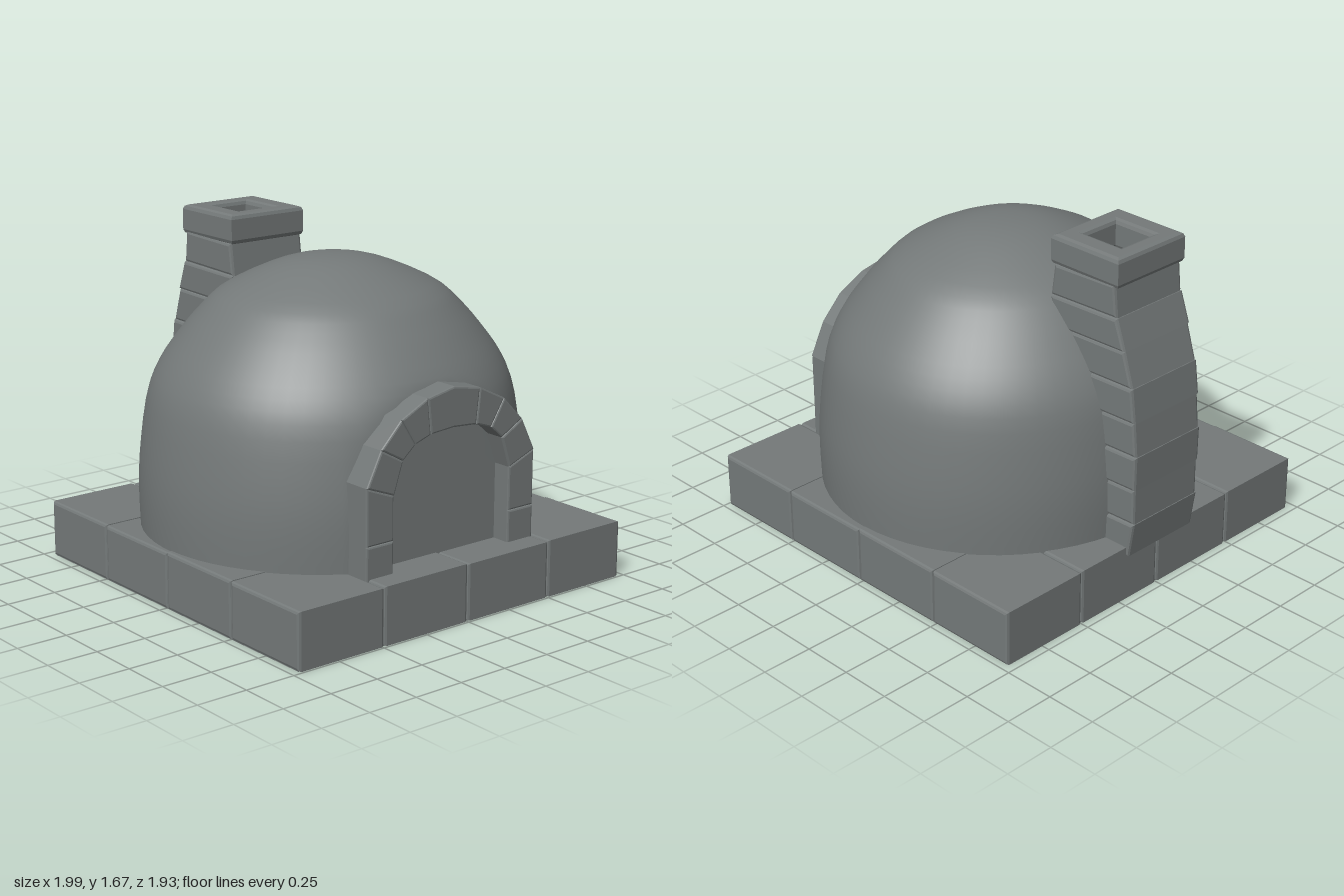
import * as THREE from 'three';
import { mergeVertices } from 'three/addons/utils/BufferGeometryUtils.js';

const stone = new THREE.MeshStandardMaterial({ color: 0x747979 });
stone.name = 'grey stone';

function add(parent, name, geometry) {
  const mesh = new THREE.Mesh(geometry, stone);
  mesh.name = name;
  parent.add(mesh);
  return mesh;
}

function group(parent, name) {
  const g = new THREE.Group();
  g.name = name;
  parent.add(g);
  return g;
}

// Bevelled block: outline in x/y, running from z0 to z1
function block(outline, z0, z1, bevel = 0.014, hole) {
  const shape = new THREE.Shape(outline.map(([x, y]) => new THREE.Vector2(x, y)));
  if (hole) shape.holes.push(new THREE.Path(hole.map(([x, y]) => new THREE.Vector2(x, y))));
  const geometry = new THREE.ExtrudeGeometry(shape, {
    depth: z1 - z0 - 2 * bevel, bevelEnabled: true, bevelThickness: bevel,
    bevelSize: bevel, bevelOffset: -bevel, bevelSegments: 2,
  });
  return geometry.translate(0, 0, z0 + bevel);
}

const rect = (x0, y0, x1, y1) => [[x0, y0], [x1, y0], [x1, y1], [x0, y1]];

// Ring of slabs around a solid core
function buildBase(parent) {
  const base = group(parent, 'base');
  const xs = [-0.96, -0.485, 0.015, 0.505, 0.99];
  const zs = [-0.97, -0.5, 0, 0.49, 0.965];
  for (let i = 0; i < 4; i++) {
    for (let j = 0; j < 4; j++) {
      if (i % 3 && j % 3) continue;
      const top = 0.272 + 0.004 * ((i + j) % 2);
      add(base, 'baseSlab', block(rect(xs[i], 0, xs[i + 1], top), zs[j], zs[j + 1]));
    }
  }
  const core = add(base, 'baseCore', new THREE.BoxGeometry(1.93, 0.262, 1.92));
  core.position.set(0.015, 0.131, 0);
}

// Oval dome, pressed flat on the doorway side
function buildDome(parent) {
  const profile = new THREE.SplineCurve([
    [0.932, 0.25], [0.937, 0.45], [0.925, 0.65], [0.887, 0.9], [0.825, 1.05],
    [0.732, 1.18], [0.635, 1.29], [0.522, 1.388], [0.3, 1.49], [0.14, 1.532], [0, 1.54],
  ].map(([r, y]) => new THREE.Vector2(r, y)));
  let geometry = new THREE.LatheGeometry(profile.getPoints(28), 64);
  geometry.deleteAttribute('uv');
  geometry.deleteAttribute('normal');
  geometry.scale(0.935, 1, 1).translate(0.015, 0, 0.003);
  const p = geometry.attributes.position;
  for (let i = 0; i < p.count; i++) p.setX(i, Math.min(p.getX(i), 0.785));
  geometry = mergeVertices(geometry, 1e-4);
  geometry.computeVertexNormals();
  add(parent, 'dome', geometry);
}

// Doorway arch: joints given as inner and outer points, mirrored about the keystone
function buildArch(parent) {
  const arch = group(parent, 'doorArch');
  arch.rotation.y = Math.PI / 2;
  const joints = [
    [[0.345, 0.26], [0.5, 0.26]], [[0.345, 0.425], [0.5, 0.425]],
    [[0.345, 0.635], [0.5, 0.695]], [[0.295, 0.785], [0.42, 0.855]],
    [[0.225, 0.845], [0.305, 0.972]], [[0.135, 0.875], [0.155, 1.045]],
  ];
  for (const side of [-1, 1]) {
    const flip = ([x, y]) => [x * side, y];
    for (let i = 0; i < joints.length - 1; i++) {
      const [a, b] = joints[i], [c, d] = joints[i + 1];
      const x = i < 2 ? 0.878 : 0.882;
      add(arch, 'archStone', block([a, b, d, c].map(flip), 0.72, x, 0.009));
    }
  }
  const [inner, outer] = joints[5];
  add(arch, 'keystone', block([
    [-inner[0], inner[1]], [0, 0.885], inner, outer, [0, 1.075], [-outer[0], outer[1]],
  ], 0.72, 0.882, 0.009));
}

// Chimney courses lean in with the dome, then a hollow cap
function buildChimney(parent) {
  const chimney = group(parent, 'chimney');
  const courses = [ // outer x, joint height, inner x
    [-0.97, 0.23, -0.6], [-0.997, 0.405, -0.6], [-0.997, 0.58, -0.6],
    [-1, 0.75, -0.6], [-0.985, 0.915, -0.58], [-0.965, 1.08, -0.55],
    [-0.915, 1.245, -0.5], [-0.865, 1.39, -0.465], [-0.85, 1.545, -0.485],
  ];
  for (let i = 0; i < courses.length - 1; i++) {
    const [x0, y0, r0] = courses[i], [x1, y1, r1] = courses[i + 1];
    const inset = 0.004 * (i % 2);
    add(chimney, 'chimneyBrick', block([
      [x0 + inset, y0], [r0, y0 - 0.012], [r1, y1 - 0.012], [x1 + inset, y1],
    ], -0.212 + inset, 0.226 - inset));
  }
  const cap = add(chimney, 'chimneyCap', block(
    rect(-0.87, -0.222, -0.468, 0.21), 0, 0.145, 0.022,
    rect(-0.78, -0.108, -0.56, 0.094).reverse()));
  cap.rotation.x = -Math.PI / 2;
  cap.position.y = 1.528;
}

export function createModel() {
  const oven = new THREE.Group();
  oven.name = 'domeOven';
  buildBase(oven);
  buildDome(oven);
  buildArch(oven);
  buildChimney(oven);
  return oven;
}
